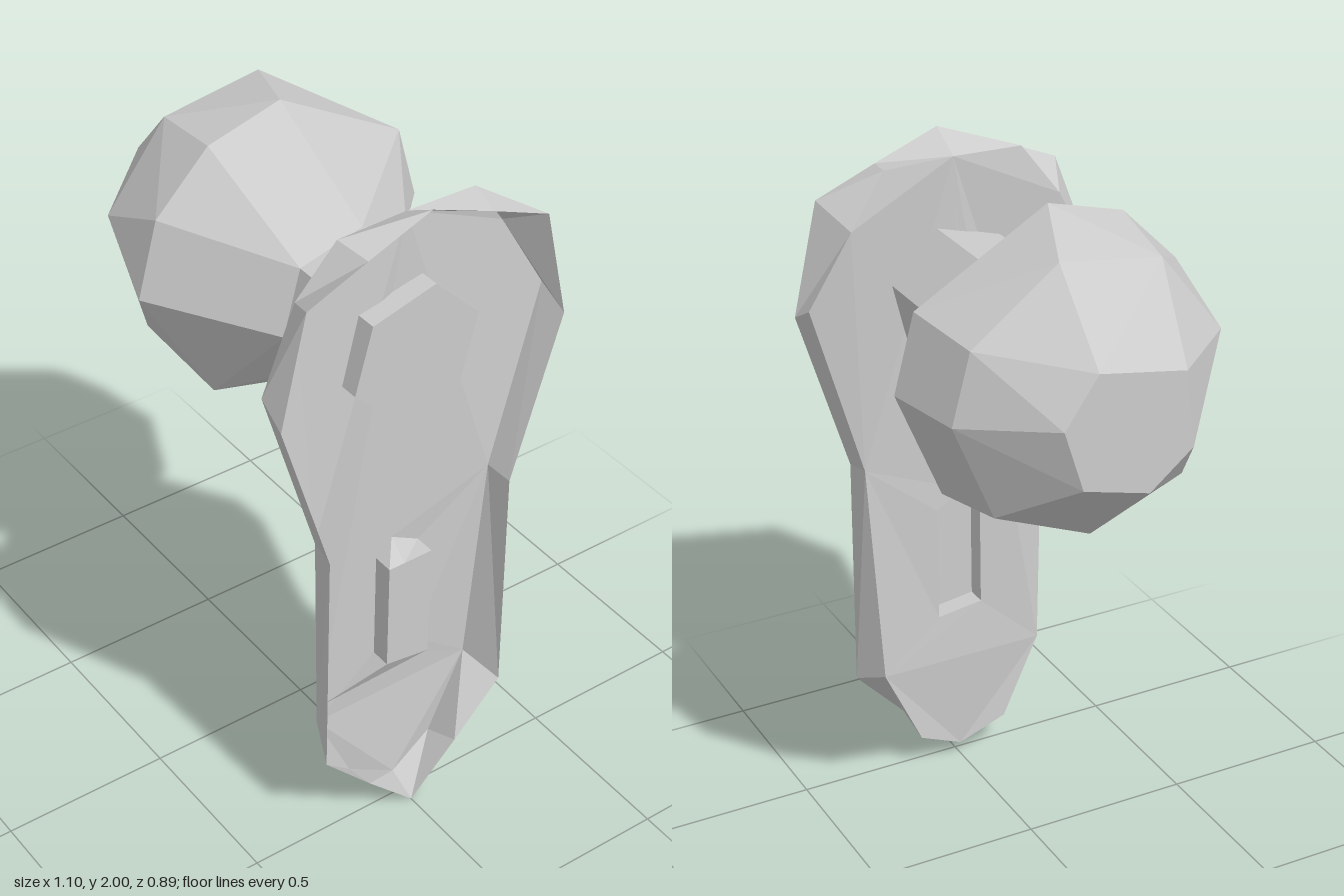
import * as THREE from 'three';
import { ConvexGeometry } from 'three/addons/geometries/ConvexGeometry.js';

const material = new THREE.MeshStandardMaterial({ color: 0xcccccc, flatShading: true, side: THREE.DoubleSide });
const V = (x, y, z) => new THREE.Vector3(x, y, z);

// Points around the knob axis (along x at y = 1.55), angles in degrees from +z towards +y
const AXIS_Y = 1.55;
const ring = (x, r, angles) => angles.map((d) => {
  const a = THREE.MathUtils.degToRad(d);
  return V(x, AXIS_Y + r * Math.sin(a), r * Math.cos(a));
});

// Flat-shaded mesh from a list of triangle corners
function triangleMesh(name, points) {
  const geometry = new THREE.BufferGeometry().setFromPoints(points);
  geometry.computeVertexNormals();
  const mesh = new THREE.Mesh(geometry, material);
  mesh.name = name;
  return mesh;
}

function hull(name, points) {
  const mesh = new THREE.Mesh(new ConvexGeometry(points), material);
  mesh.name = name;
  return mesh;
}

// Band of quads between two closed loops of equal length
function band(a, b) {
  return a.flatMap((p, i) => {
    const j = (i + 1) % a.length;
    return [p, b[i], a[j], a[j], b[i], b[j]];
  });
}

// Filled loop, optionally with a hole, triangulated in the z-y plane, facing -x
function fill(loop, hole) {
  const flat = (l) => l.map((p) => new THREE.Vector2(p.z, p.y));
  const all = hole ? [...loop, ...hole] : loop;
  const faces = THREE.ShapeUtils.triangulateShape(flat(loop), hole ? [flat(hole)] : []);
  return faces.flatMap((f) => f.map((i) => all[i]));
}

// Full outline from the +z half, whose first and last points lie on z = 0
const mirrorLoop = (half) => [
  ...half,
  ...half.slice(1, -1).reverse().map((p) => V(p.x, p.y, -p.z)),
];

export function createModel() {
  const model = new THREE.Group();
  model.name = 'doorKnob';

  // Faceted knob, tapering to the neck
  const upperNeck = [-15, 45, 105];
  const lowerNeck = [165, 225, 285];
  model.add(hull('knob', [
    ...ring(-0.545, 0.2, [-27, 40, 120, 170, 225, 285]),
    ...ring(-0.33, 0.4, [16, 60, 104, 150, 180, 225, 270, 314]),
    ...ring(-0.09, 0.445, [0, 30, 60, 90, 150, 180, 225, 270, 300]),
    ...ring(0.2, 0.2, upperNeck),
    ...ring(0.1, 0.28, lowerNeck),
  ]));

  // Flare on the rear and underside of the neck
  model.add(hull('neckFlare', [
    ...ring(0.1, 0.28, lowerNeck),
    ...ring(0.28, 0.2, lowerNeck),
    ...ring(0.2, 0.2, upperNeck),
  ]));

  // Six-sided neck, its end standing out inside the hollow plate
  const hex = [...upperNeck, ...lowerNeck];
  model.add(hull('neck', [...ring(0.15, 0.2, hex), ...ring(0.51, 0.2, hex)]));

  // Plate: a hollow shell, open towards +x
  const face = mirrorLoop([
    V(0.45, 1.945, 0), V(0.45, 1.94, 0.21), V(0.43, 1.79, 0.32), V(0.46, 1.57, 0.44),
    V(0.47, 1.04, 0.285), V(0.44, 0.36, 0.255), V(0.44, 0.11, 0.14), V(0.46, 0.04, 0),
  ]);
  const rim = mirrorLoop([
    V(0.55, 2, 0), V(0.55, 1.925, 0.19), V(0.55, 1.85, 0.37), V(0.55, 1.52, 0.445),
    V(0.55, 1.03, 0.295), V(0.55, 0.31, 0.3), V(0.55, 0.15, 0.15), V(0.55, 0, 0),
  ]);
  const opening = [
    V(0.45, 0.53, 0.07), V(0.45, 0.87, 0.07), V(0.45, 0.92, 0.02), V(0.45, 0.87, -0.07), V(0.45, 0.51, -0.07),
  ];
  const plate = new THREE.Group();
  plate.name = 'plate';
  plate.add(triangleMesh('plateFace', fill(face, opening)));
  plate.add(triangleMesh('plateSides', band(face, rim)));

  // Keyhole: a blind pocket pushed into the plate
  const pocketEnd = opening.map((p) => V(0.51, Math.min(p.y, 0.87), p.z));
  plate.add(triangleMesh('keyholeSides', band(opening, pocketEnd)));
  plate.add(triangleMesh('keyholeEnd', fill(pocketEnd)));

  // Sloping web below the pocket, inside the shell
  plate.add(triangleMesh('keyholeWeb', [pocketEnd[0], V(0.445, 0.42, 0.24), pocketEnd[4]]));
  model.add(plate);

  return model;
}
